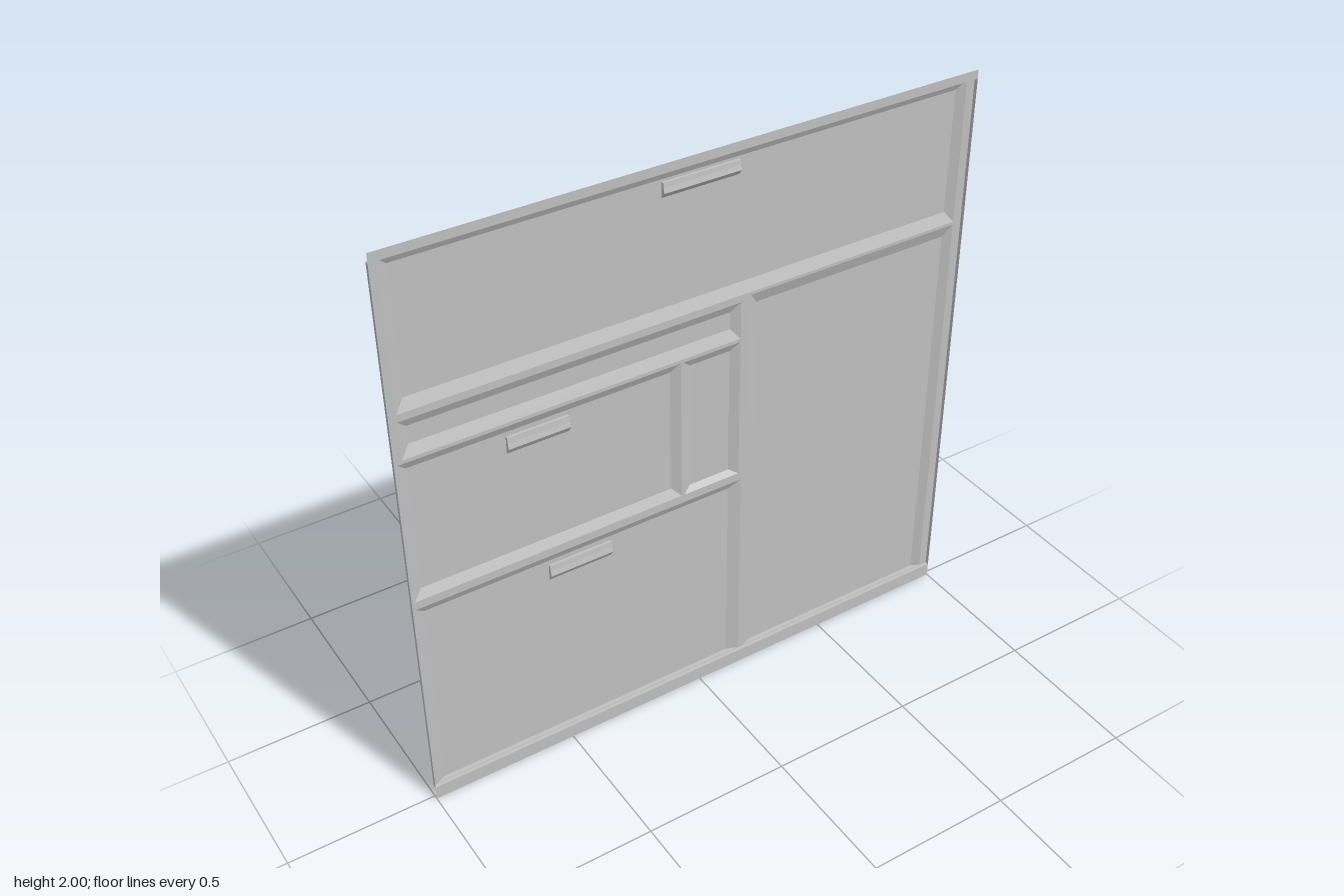
import * as THREE from 'three';

const FRAME = 0.001, FLOOR = -0.014, FRONT = 0.014; // depths along z

// Flat-shaded quads, each given as four corner points
function quads(name, list, material) {
  const pos = [];
  for (const [a, b, c, d] of list) pos.push(...a, ...b, ...c, ...a, ...c, ...d);
  const g = new THREE.BufferGeometry();
  g.setAttribute('position', new THREE.Float32BufferAttribute(pos, 3));
  g.computeVertexNormals();
  const mesh = new THREE.Mesh(g, material);
  mesh.name = name;
  return mesh;
}

const corners = (x0, x1, y0, y1) => [[x0, y0], [x1, y0], [x1, y1], [x0, y1]];
const toPoints = (pts) => pts.map(([x, y]) => new THREE.Vector2(x, y));

// Flat sheet with rectangular openings
function sheet(name, outline, holes, z, material) {
  const s = new THREE.Shape(toPoints(outline));
  for (const h of holes) s.holes.push(new THREE.Path(toPoints(h).reverse()));
  const mesh = new THREE.Mesh(new THREE.ShapeGeometry(s), material);
  mesh.position.z = z;
  mesh.name = name;
  return mesh;
}

// Handle pressed out of a panel: a bent strip with closed ends, hollow behind
function handle([x0, x1, y0, y1], material) {
  const h = y1 - y0;
  const profile = [[y1, FLOOR], [y1, -0.005], [y1 - 0.3 * h, -0.003], [y1 - 0.62 * h, 0.001], [y0, FLOOR]];
  const list = [];
  for (let i = 0; i < profile.length - 1; i++) {
    const [a, b] = [profile[i], profile[i + 1]];
    list.push([[x0, ...a], [x0, ...b], [x1, ...b], [x1, ...a]]);
  }
  const end = (x, flip) => {
    const p = profile.map((q) => [x, ...q]);
    const fan = [[p[0], p[1], p[2], p[3]], [p[0], p[3], p[4], p[4]]];
    return flip ? fan.map((q) => q.slice().reverse()) : fan;
  };
  list.push(...end(x0, false), ...end(x1, true));
  return quads('handle', list, material);
}

export function createModel() {
  const group = new THREE.Group();
  group.name = 'wallPanel';
  const grey = new THREE.MeshStandardMaterial({ color: 0xc0c0c0, side: THREE.DoubleSide, flatShading: true });
  grey.name = 'grey';

  // Recesses: outer rectangle, bevel widths (left, right, bottom, top), optional handle
  const recesses = [
    { name: 'topPanel', r: [-0.97, 0.97, 1.482, 1.968], b: [0.03, 0.03, 0.038, 0.03], h: [-0.11, 0.15, 1.88, 1.93] },
    { name: 'slotPanel', r: [-0.97, 0.155, 1.328, 1.457], b: [0.03, 0.03, 0.037, 0.032] },
    { name: 'drawerPanel', r: [-0.985, -0.06, 0.815, 1.316], b: [0.03, 0.03, 0.032, 0.03], h: [-0.645, -0.44, 1.21, 1.27] },
    { name: 'smallPanel', r: [-0.05, 0.155, 0.815, 1.316], b: [0.03, 0.03, 0.018, 0.03] , },
    { name: 'lowerPanel', r: [-0.985, 0.165, 0.052, 0.786], b: [0.03, 0.04, 0, 0.03], h: [-0.535, -0.315, 0.68, 0.74] },
    { name: 'sidePanel', r: [0.19, 0.97, 0.052, 1.472], b: [0.03, 0.03, 0, 0.042] },
  ];
  const openings = [];
  for (const { name, r, b, h } of recesses) {
    const part = new THREE.Group();
    part.name = name;
    const outer = corners(...r);
    const inner = corners(r[0] + b[0], r[1] - b[1], r[2] + b[2], r[3] - b[3]);
    const walls = outer.map((p, i) => {
      const j = (i + 1) % 4;
      return [[...p, FRAME], [...outer[j], FRAME], [...inner[j], FLOOR], [...inner[i], FLOOR]];
    });
    part.add(quads('bevels', walls, grey));
    part.add(sheet('floor', inner, h ? [corners(...h)] : [], FLOOR, grey));
    if (h) part.add(handle(h, grey));
    group.add(part);
    openings.push(outer);
  }

  // Frame between the recesses
  const lo = 0.05, hi = 1.97;
  group.add(sheet('frame', corners(-1, 1, lo, hi), openings, FRAME, grey));

  // Side flanges and the ledges at top and bottom
  for (const x of [-1, 1]) {
    const q = [[x, lo, FRAME], [x, hi, FRAME], [x, hi, FRONT], [x, lo, FRONT]];
    group.add(quads(x < 0 ? 'rightFlange' : 'leftFlange', [x > 0 ? q : q.reverse()], grey));
  }
  for (const y of [lo, hi]) {
    const q = [[-1, y, FRAME], [-1, y, FRONT], [1, y, FRONT], [1, y, FRAME]];
    group.add(quads(y === lo ? 'bottomLedge' : 'topLedge', [y === hi ? q : q.reverse()], grey));
  }

  // Flat edge strips
  group.add(sheet('topStrip', corners(-1, 1, hi, 2), [], FRONT, grey));
  group.add(sheet('bottomStrip', corners(-1, 1, 0, lo), [], FRONT, grey));
  return group;
}
